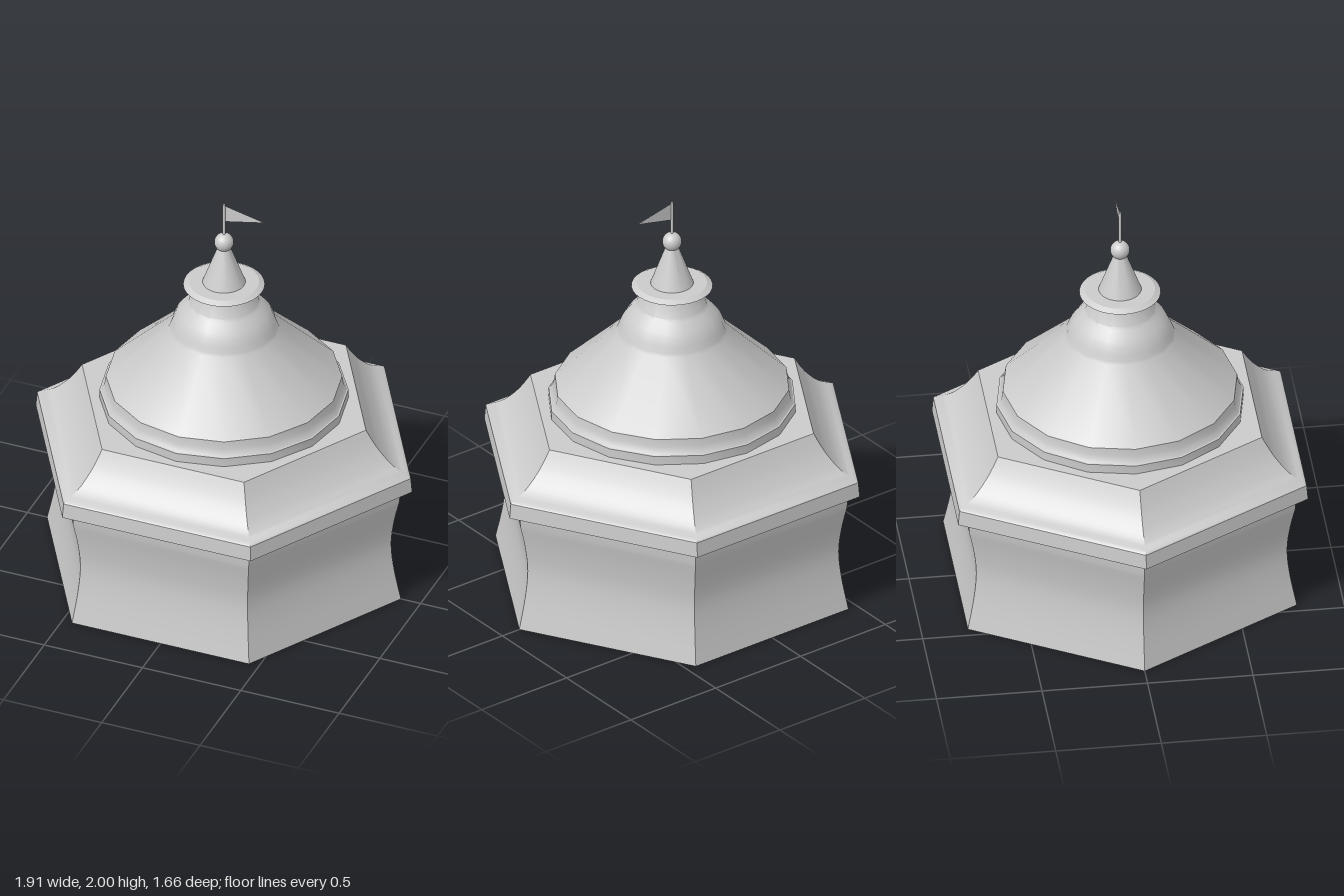
import * as THREE from 'three';
import { toCreasedNormals } from 'three/addons/utils/BufferGeometryUtils.js';

const material = new THREE.MeshStandardMaterial({ color: 0xcccccc });

// Smooth run of profile points [radius, y] through a few control points
function curve(points, steps) {
  const spline = new THREE.SplineCurve(points.map(([r, y]) => new THREE.Vector2(r, y)));
  return spline.getPoints(steps).map((p) => [Math.max(p.x, 0), p.y]);
}

// Revolved profile, listed bottom to top, with one corner on the +x axis
function turned(name, profile, sides, crease = 0.5) {
  const points = profile.map(([r, y]) => new THREE.Vector2(r, y));
  const geometry = toCreasedNormals(new THREE.LatheGeometry(points, sides, Math.PI / 2), crease);
  const mesh = new THREE.Mesh(geometry, material);
  mesh.name = name;
  return mesh;
}

export function createModel() {
  const model = new THREE.Group();
  model.name = 'pavilion';

  // Six-sided walls, pinched at mid height, with a closed floor
  model.add(turned('walls', [
    [0, 0],
    ...curve([[0.9, 0], [0.865, 0.16], [0.85, 0.3], [0.865, 0.43], [0.893, 0.55]], 14),
    [0.897, 0.625],
  ], 6));

  // Six-sided lower roof: eave band, flared slope and flat top
  model.add(turned('lowerRoof', [
    [0.88, 0.62], [0.957, 0.62], [0.95, 0.695],
    ...curve([[0.945, 0.7], [0.865, 0.74], [0.8, 0.8], [0.757, 0.855], [0.722, 0.91]], 14),
    [0, 0.91],
  ], 6));

  // Round upper roof: stepped rim, straight slope and curved neck
  model.add(turned('upperRoof', [
    [0.585, 0.91], [0.585, 0.955],
    ...curve([[0.578, 0.958], [0.563, 0.985], [0.555, 1.03]], 5),
    [0.545, 1.038], [0.262, 1.31],
    ...curve([[0.255, 1.325], [0.23, 1.385], [0.195, 1.43], [0.167, 1.46]], 6),
    [0.137, 1.552],
  ], 16));

  // Thin brim around the neck
  model.add(turned('brim', [
    [0, 1.552], [0.192, 1.552], [0.165, 1.567], [0, 1.567],
  ], 32, 0.3));

  // Small spire, ball and flagpole
  model.add(turned('spire', [[0.102, 1.565], [0.03, 1.76]], 24));

  const ball = new THREE.Mesh(new THREE.SphereGeometry(0.046, 24, 16), material);
  ball.name = 'ball';
  ball.position.y = 1.79;
  model.add(ball);

  const pole = new THREE.Mesh(new THREE.CylinderGeometry(0.007, 0.007, 0.19, 8), material);
  pole.name = 'flagpole';
  pole.position.y = 1.905;
  model.add(pole);

  // Triangular pennant
  const pennant = new THREE.Shape([
    new THREE.Vector2(0, 1.905), new THREE.Vector2(0.207, 1.95), new THREE.Vector2(0, 1.996),
  ]);
  const flag = new THREE.Mesh(
    new THREE.ShapeGeometry(pennant),
    new THREE.MeshStandardMaterial({ color: 0xcccccc, side: THREE.DoubleSide }),
  );
  flag.name = 'flag';
  model.add(flag);

  return model;
}
